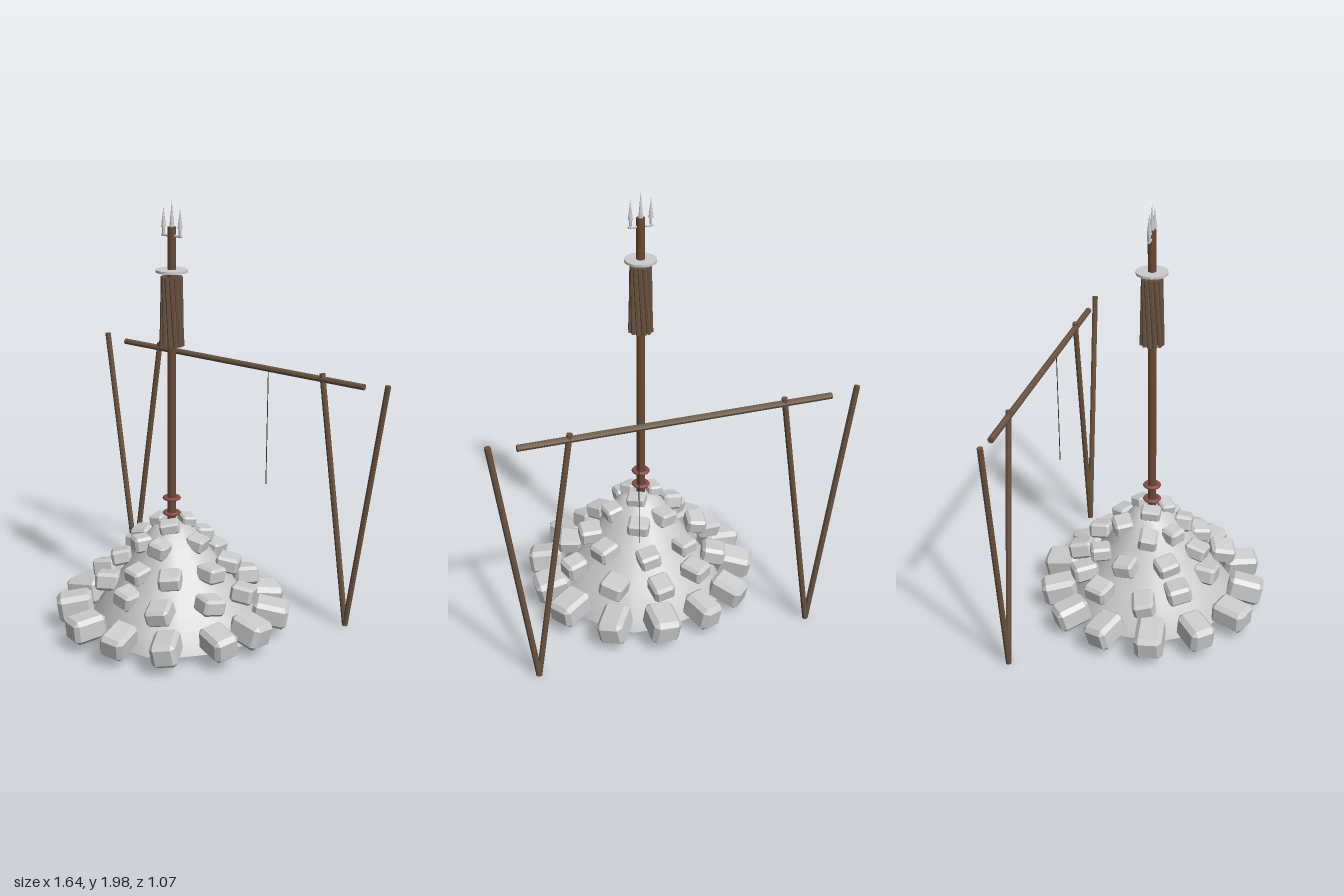
import * as THREE from 'three';
import { toCreasedNormals } from 'three/addons/utils/BufferGeometryUtils.js';
import { ConvexGeometry } from 'three/addons/geometries/ConvexGeometry.js';

const mat = (color, extra = {}) => new THREE.MeshStandardMaterial({ color, ...extra });
const stone = mat(0xcccccc, { flatShading: true });
const smoothStone = mat(0xcccccc);
const wood = mat(0x6b5340, { flatShading: true });
const poleWood = mat(0x6b4a35);
const red = mat(0x8a4a45);
const cord = mat(0x333333);

// Small seeded random, -1..1
let seed = 7;
const rnd = () => {
  seed = (seed * 16807) % 2147483647;
  return (seed / 2147483647) * 2 - 1;
};

function add(parent, name, geometry, material, x = 0, y = 0, z = 0) {
  const mesh = new THREE.Mesh(geometry, material);
  mesh.name = name;
  mesh.position.set(x, y, z);
  parent.add(mesh);
  return mesh;
}

// Straight rod between two points
function rod(parent, name, a, b, radius, material, sides = 8) {
  const from = new THREE.Vector3(...a);
  const dir = new THREE.Vector3(...b).sub(from);
  const mesh = add(parent, name, new THREE.CylinderGeometry(radius, radius, dir.length(), sides), material);
  mesh.position.copy(from).addScaledVector(dir, 0.5);
  mesh.quaternion.setFromUnitVectors(new THREE.Vector3(0, 1, 0), dir.normalize());
  return mesh;
}

// Box with chamfered edges
function chamferBox(w, h, d, c) {
  const points = [];
  for (const x of [-1, 1]) for (const y of [-1, 1]) for (const z of [-1, 1]) {
    for (let full = 0; full < 3; full++) {
      points.push(new THREE.Vector3(
        x * (w / 2 - (full === 0 ? 0 : c)),
        y * (h / 2 - (full === 1 ? 0 : c)),
        z * (d / 2 - (full === 2 ? 0 : c))));
    }
  }
  return new ConvexGeometry(points);
}

// Uneven earth mound with a flat underside
function mound() {
  const profile = [[0, 0.035], [0.4, 0.035], [0.37, 0.1], [0.3, 0.2], [0.22, 0.31], [0.15, 0.42], [0.08, 0.51], [0, 0.53]];
  const geo = new THREE.LatheGeometry(profile.map(p => new THREE.Vector2(...p)), 16);
  const pos = geo.attributes.position;
  for (let i = 0; i < pos.count; i++) {
    const x = pos.getX(i), z = pos.getZ(i);
    const a = Math.atan2(x, z);
    const k = 1 + 0.06 * Math.cos(a - 2) + 0.03 * Math.sin(5 * a);
    pos.setXYZ(i, x * k, pos.getY(i), z * k);
  }
  geo.deleteAttribute('uv');
  return toCreasedNormals(geo, 0.7);
}

// Rock rings: height, size (across, high, outward), positions (x, z)
const ROCKS = [
  { y: 0.105, size: [0.125, 0.115, 0.165], at: [[-0.16, -0.41], [0.05, -0.45], [0.25, -0.38], [0.41, -0.21], [0.44, -0.01],
    [0.41, 0.19], [0.26, 0.37], [0.05, 0.44], [-0.16, 0.42], [-0.34, 0.29], [-0.43, 0.1], [-0.43, -0.11], [-0.33, -0.3]] },
  { y: 0.23, size: [0.105, 0.08, 0.11], at: [[0.02, -0.35], [0.22, -0.28], [0.35, -0.08], [0.31, 0.12], [0.17, 0.3],
    [-0.04, 0.27], [-0.23, 0.18], [-0.35, 0.05], [-0.3, -0.17], [-0.17, -0.28]] },
  { y: 0.335, size: [0.1, 0.07, 0.1], at: [[0.05, -0.26], [0.22, -0.14], [0.24, 0.02], [0.14, 0.19], [-0.02, 0.22],
    [-0.2, 0.12], [-0.25, -0.06], [-0.14, -0.21]] },
  { y: 0.44, size: [0.09, 0.07, 0.09], at: [[0.06, -0.15], [-0.07, -0.12], [-0.15, 0.02], [-0.08, 0.12], [0.04, 0.14], [0.14, -0.01]] },
  { y: 0.52, size: [0.085, 0.05, 0.065], at: [[-0.06, 0.01], [0.04, -0.06], [0.03, 0.055]] },
];

function rocks() {
  const group = new THREE.Group();
  group.name = 'rocks';
  for (const { y, size, at } of ROCKS) {
    for (const [x, z] of at) {
      const [w, h, d] = size.map(s => s * (1 + 0.08 * rnd()));
      const rock = add(group, 'rock', chamferBox(w, h, d, h * 0.17), stone, x, y + 0.008 * rnd(), z);
      rock.rotation.set(0.12 + 0.12 * rnd(), Math.atan2(x, z) + 0.2 * rnd(), 0.2 * rnd(), 'YXZ');
    }
  }
  return group;
}

// Pole with red rings, stick bundle, disc and three-pronged head
function standard() {
  const group = new THREE.Group();
  group.name = 'standard';
  add(group, 'pole', new THREE.CylinderGeometry(0.019, 0.02, 1.84, 12), poleWood, 0, 0.95, 0);
  for (const y of [0.565, 0.637]) {
    const ring = add(group, 'poleRing', new THREE.TorusGeometry(0.03, 0.012, 8, 20), red, 0, y, 0);
    ring.rotation.x = Math.PI / 2;
    ring.scale.z = 0.6;
  }

  const bundle = new THREE.Group();
  bundle.name = 'stickBundle';
  group.add(bundle);
  const count = 12;
  for (let i = 0; i < count; i++) {
    const a = (i / count) * Math.PI * 2;
    const b = a - 0.45;
    rod(bundle, 'stick', [0.046 * Math.sin(a), 1.348, 0.046 * Math.cos(a)],
      [0.038 * Math.sin(b), 1.655, 0.038 * Math.cos(b)], 0.0105, wood, 6);
  }
  add(group, 'disc', new THREE.CylinderGeometry(0.07, 0.07, 0.011, 28), smoothStone, 0, 1.68, 0);

  const head = new THREE.Group();
  head.name = 'prongedHead';
  group.add(head);
  rod(head, 'crossbar', [-0.055, 1.832, 0], [0.055, 1.832, 0], 0.006, smoothStone);
  for (const x of [-0.045, 0.045]) {
    rod(head, 'prong', [x, 1.83, 0], [x, 1.88, 0], 0.006, smoothStone);
    add(head, 'prongTip', new THREE.ConeGeometry(0.011, 0.09, 8), smoothStone, x, 1.91, 0);
  }
  add(head, 'centreTip', new THREE.ConeGeometry(0.011, 0.12, 8), smoothStone, 0, 1.925, 0);
  return group;
}

// V-shaped supports, long beam and hanging cord behind the mound
function frame() {
  const group = new THREE.Group();
  group.name = 'frame';
  const z = -0.5;
  for (const side of [-1, 1]) {
    for (const top of [0.468, 0.805]) {
      rod(group, 'supportLeg', [side * 0.637, 0.002, z], [side * top, 1.192, z], 0.0135, wood);
    }
  }
  rod(group, 'beam', [-0.687, 1.166, z], [0.687, 1.166, z], 0.0145, wood);
  rod(group, 'cord', [0.175, 0.6, z], [0.175, 1.16, z], 0.002, cord, 6);
  return group;
}

export function createModel() {
  const model = new THREE.Group();
  model.name = 'cairnWithStandard';
  add(model, 'mound', mound(), smoothStone);
  model.add(rocks(), standard(), frame());
  return model;
}
